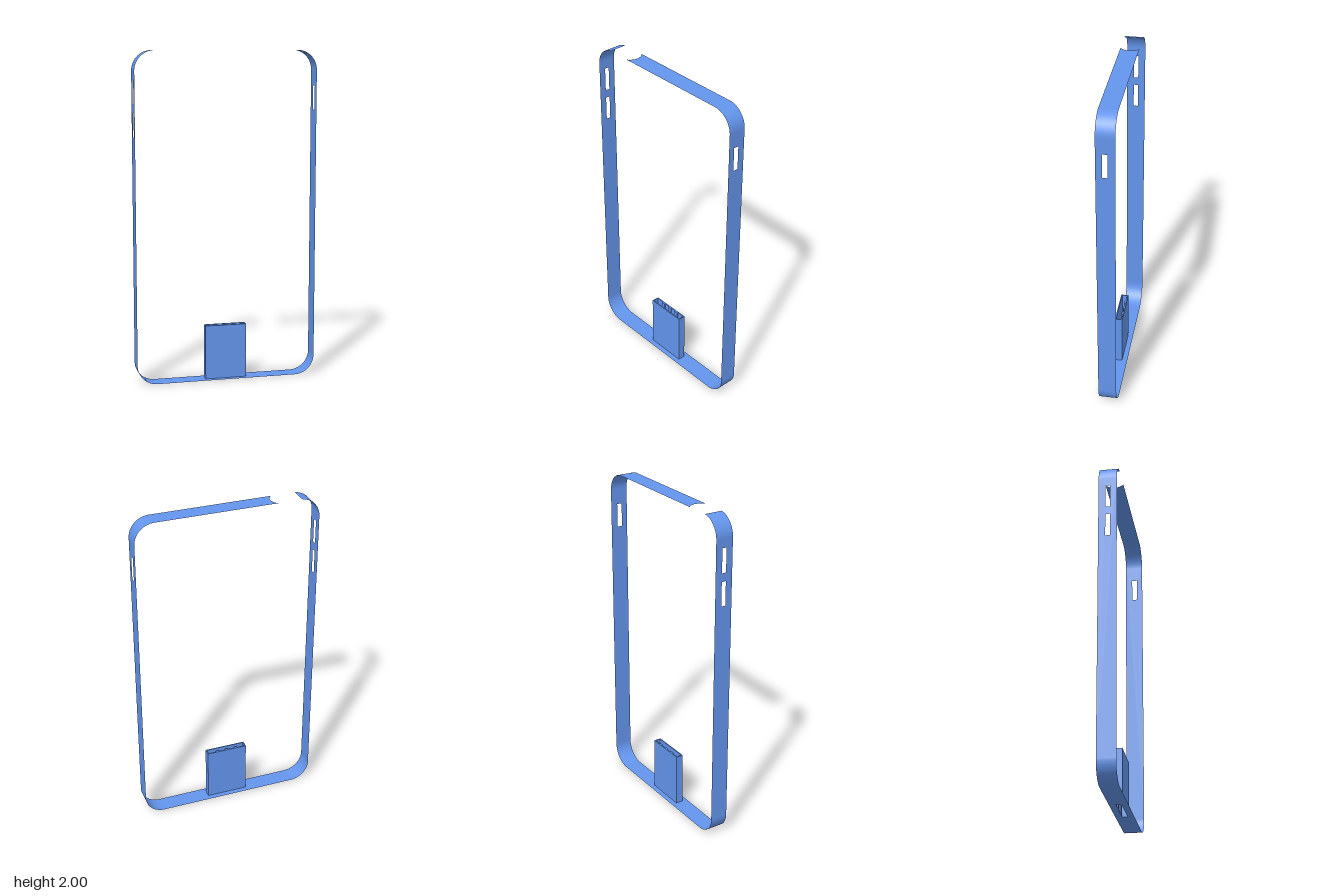
import * as THREE from 'three';

const W = 0.555, H = 2, D = 0.055, R = 0.12; // half width, height, half depth, corner radius
const mat = new THREE.MeshStandardMaterial({ color: 0x6495ed, side: THREE.DoubleSide });

const rect = (Type, x0, y0, x1, y1) => new Type([
  new THREE.Vector2(x0, y0), new THREE.Vector2(x1, y0),
  new THREE.Vector2(x1, y1), new THREE.Vector2(x0, y1)]);

// Connector opening: a slim slot with small teeth along its back side
function connectorPath(flip) {
  const p = [[-0.122, 0.016], [0.122, 0.016], [0.122, -0.016]];
  for (const c of [0.06, 0, -0.06]) {
    p.push([c + 0.012, -0.016], [c + 0.012, -0.009], [c - 0.012, -0.009], [c - 0.012, -0.016]);
  }
  p.push([-0.122, -0.016]);
  return new THREE.Path(p.map(([x, z]) => new THREE.Vector2(x, z * flip)));
}

export function createModel() {
  const group = new THREE.Group();
  const add = (name, geometry, x = 0, y = 0, z = 0) => {
    const mesh = new THREE.Mesh(geometry, mat);
    mesh.name = name;
    mesh.position.set(x, y, z);
    group.add(mesh);
  };

  // Side bands with button slots
  const sideBand = (name, side, slots) => {
    const shape = rect(THREE.Shape, -D, R, D, H - R);
    for (const [y0, y1, z0, z1] of slots) {
      const a = -z0 * side, b = -z1 * side;
      shape.holes.push(rect(THREE.Path, Math.min(a, b), y0, Math.max(a, b), y1));
    }
    add(name, new THREE.ShapeGeometry(shape).rotateY(side * Math.PI / 2), side * W);
  };
  sideBand('leftBand', 1, [[1.64, 1.785, -0.013, 0.018]]);
  sideBand('rightBand', -1, [[1.685, 1.83, -0.013, 0.014], [1.49, 1.635, -0.013, 0.014]]);

  // Top band, ending in a rounded camera cutout
  const top = new THREE.Shape();
  const cutR = 0.0654, cutX = -0.335, a = Math.asin(D / cutR);
  top.moveTo(cutX + cutR * Math.cos(a), -D);
  top.lineTo(W - R, -D);
  top.lineTo(W - R, D);
  top.lineTo(cutX + cutR * Math.cos(a), D);
  top.absarc(cutX, 0, cutR, a, -a, true);
  add('topBand', new THREE.ShapeGeometry(top, 24).rotateX(-Math.PI / 2), 0, H);

  // Bottom band with connector opening
  const bottom = rect(THREE.Shape, R - W, -D, W - R, D);
  bottom.holes.push(connectorPath(1));
  add('bottomBand', new THREE.ShapeGeometry(bottom).rotateX(Math.PI / 2));

  // Rounded corners; the upper right one stops at the cutout
  const corner = (name, sx, isTop, start, trim = 0) => add(name,
    new THREE.CylinderGeometry(R, R, 2 * D, 20, 1, true, start + trim, Math.PI / 2 - trim).rotateX(Math.PI / 2),
    sx * (W - R), isTop ? H - R : R);
  corner('lowerLeftCorner', 1, false, 0);
  corner('upperLeftCorner', 1, true, Math.PI / 2);
  corner('upperRightCorner', -1, true, Math.PI, 0.083);
  corner('lowerRightCorner', -1, false, Math.PI * 1.5);

  // Connector sleeve standing on the bottom band
  const sleeve = rect(THREE.Shape, -0.128, -0.023, 0.128, 0.023);
  sleeve.holes.push(connectorPath(-1));
  add('connectorSleeve',
    new THREE.ExtrudeGeometry(sleeve, { depth: 0.333, bevelEnabled: false }).rotateX(-Math.PI / 2), 0, 0.001);

  return group;
}
